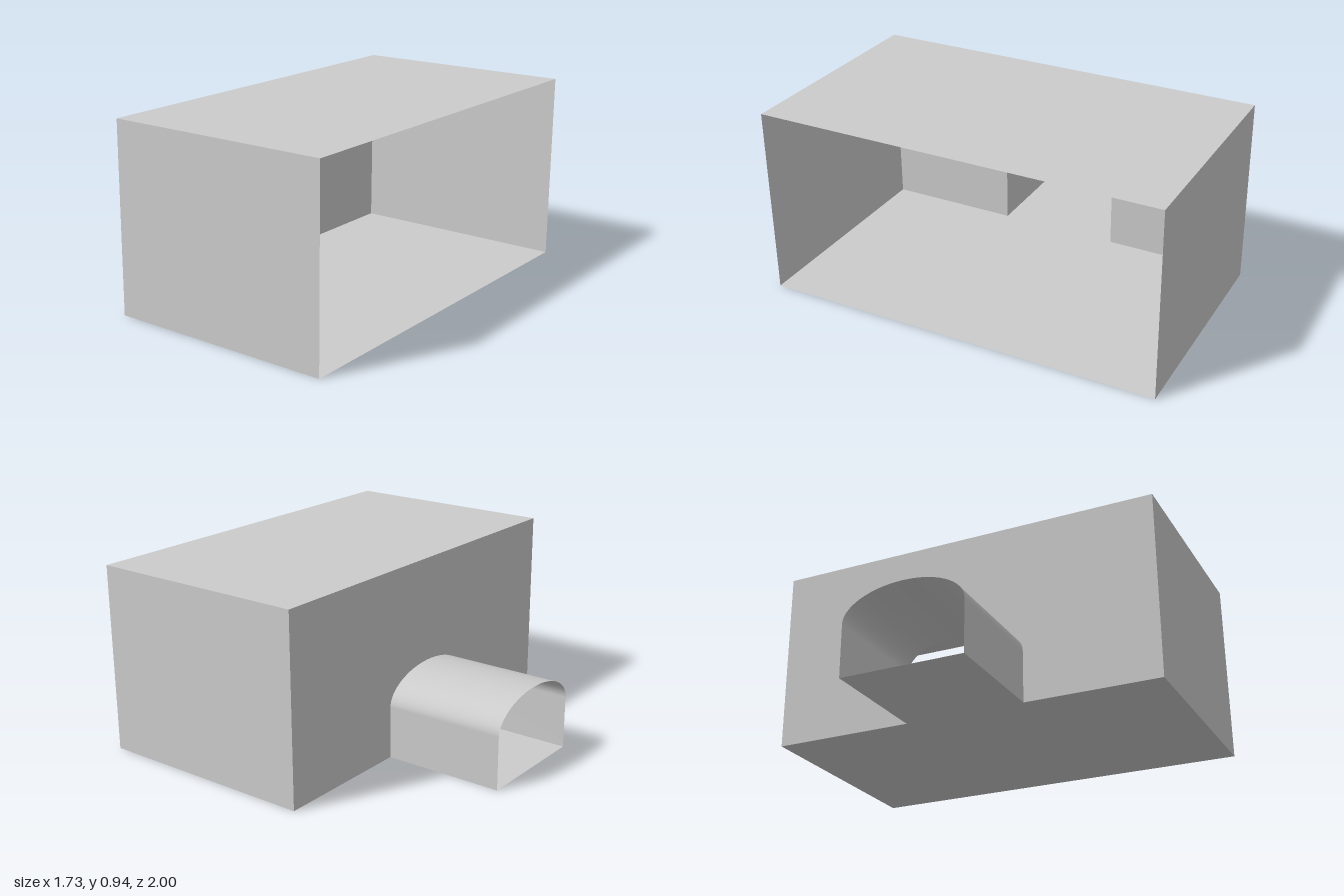
import * as THREE from 'three';

const LEFT = 0.867, WALL = -0.26, END = -0.867; // x of open side, arched wall, tunnel mouth
const HEIGHT = 0.935, DEPTH = 2;
const ARCH = { z: 0.02, half: 0.306, spring: 0.262, rise: 0.153 };

const material = new THREE.MeshStandardMaterial({ color: 0xcccccc, side: THREE.DoubleSide });

function part(name, geometry) {
  const mesh = new THREE.Mesh(geometry, material);
  mesh.name = name;
  return mesh;
}

// Arch outline in (z, y), from the front foot over the crown to the back foot
function archPoints(segments = 32) {
  const points = [new THREE.Vector2(ARCH.z + ARCH.half, 0)];
  for (let i = 0; i <= segments; i++) {
    const a = (Math.PI * i) / segments;
    points.push(new THREE.Vector2(
      ARCH.z + ARCH.half * Math.cos(a),
      ARCH.spring + ARCH.rise * Math.sin(a)
    ));
  }
  points.push(new THREE.Vector2(ARCH.z - ARCH.half, 0));
  return points;
}

// Horizontal sheet facing up (side = 1) or down (side = -1)
function sheet(name, x0, x1, depth, y, z, side) {
  const geometry = new THREE.PlaneGeometry(x1 - x0, depth);
  geometry.rotateX((-side * Math.PI) / 2).translate((x0 + x1) / 2, y, z);
  return part(name, geometry);
}

export function createModel() {
  const model = new THREE.Group();
  model.name = 'roomWithTunnel';
  const arch = archPoints();
  const width = LEFT - WALL;

  // Room shell, open on its left side
  const room = new THREE.Group();
  room.name = 'room';
  room.add(sheet('ceiling', WALL, LEFT, DEPTH, HEIGHT, 0, 1));
  room.add(sheet('floor', WALL, LEFT, DEPTH, 0, 0, -1));
  for (const [name, side] of [['frontWall', 1], ['backWall', -1]]) {
    const wall = new THREE.PlaneGeometry(width, HEIGHT);
    if (side < 0) wall.rotateY(Math.PI);
    wall.translate((WALL + LEFT) / 2, HEIGHT / 2, (side * DEPTH) / 2);
    room.add(part(name, wall));
  }

  // Wall with the arched doorway cut out of its lower edge
  const outline = new THREE.Shape([
    new THREE.Vector2(DEPTH / 2, 0),
    new THREE.Vector2(DEPTH / 2, HEIGHT),
    new THREE.Vector2(-DEPTH / 2, HEIGHT),
    new THREE.Vector2(-DEPTH / 2, 0),
    ...arch.slice().reverse()
  ]);
  const archedWall = new THREE.ShapeGeometry(outline);
  archedWall.rotateY(-Math.PI / 2).translate(WALL, 0, 0);
  room.add(part('archedWall', archedWall));
  model.add(room);

  // Tunnel: a plane bent along the arch, open at both ends
  const tunnel = new THREE.Group();
  tunnel.name = 'tunnel';
  const vault = new THREE.PlaneGeometry(1, 1, arch.length - 1, 1);
  const position = vault.attributes.position;
  for (let i = 0; i < position.count; i++) {
    const p = arch[i % arch.length];
    position.setXYZ(i, i < arch.length ? WALL : END, p.y, p.x);
  }
  vault.computeVertexNormals();
  // Keep the normals pointing outwards on the straight sides
  if (vault.attributes.normal.getZ(0) < 0) {
    vault.index.array.reverse();
    vault.computeVertexNormals();
  }
  tunnel.add(part('tunnelVault', vault));
  tunnel.add(sheet('tunnelFloor', END, WALL, ARCH.half * 2, 0, ARCH.z, -1));
  model.add(tunnel);

  return model;
}
